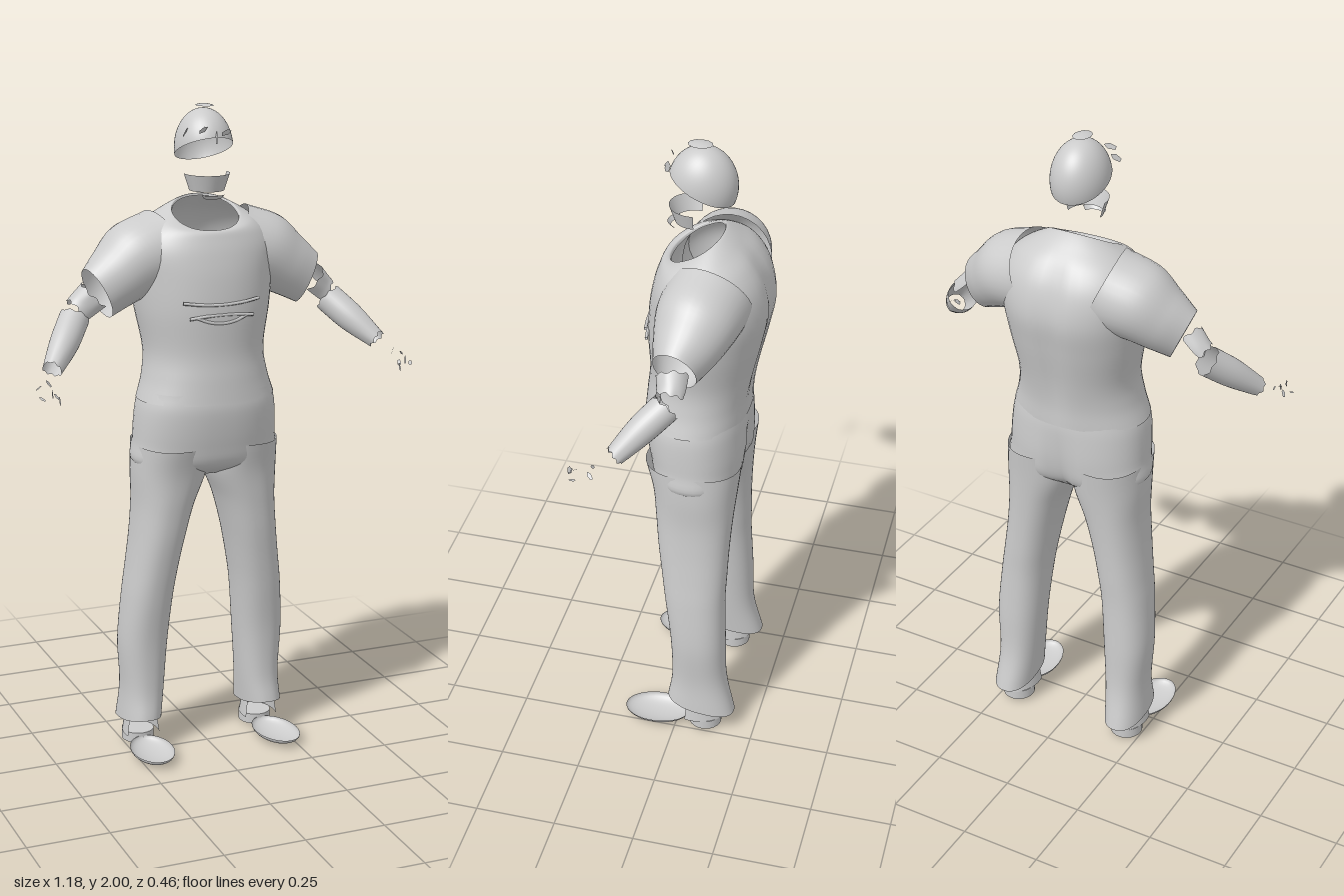
import * as THREE from 'three';

const grey = new THREE.MeshStandardMaterial({ color: 0xcccccc, side: THREE.DoubleSide });
const N = 48;

function add(parent, name, geometry) {
  const mesh = new THREE.Mesh(geometry, grey);
  mesh.name = name;
  parent.add(mesh);
  return mesh;
}

// Smooth skin through rings of points; closed rings share their seam
function loft(rings, steps = 6, closed = true) {
  const count = rings[0].length, rows = (rings.length - 1) * steps;
  const pos = [], index = [];
  const curves = rings[0].map((_, j) => new THREE.CatmullRomCurve3(rings.map(r => r[j]), false, 'catmullrom', 0.5));
  for (let i = 0; i <= rows; i++) for (const c of curves) pos.push(...c.getPoint(i / rows).toArray());
  for (let i = 0; i < rows; i++) {
    for (let j = 0; j < (closed ? count : count - 1); j++) {
      const a = i * count + j, b = i * count + (j + 1) % count;
      index.push(a, b, a + count, b, b + count, a + count);
    }
  }
  const g = new THREE.BufferGeometry();
  g.setAttribute('position', new THREE.Float32BufferAttribute(pos, 3));
  g.setIndex(index);
  g.computeVertexNormals();
  return g;
}

// Level ring [y, xOuter, xInner, zFront, zBack, tilt, groove]: tilt lowers the front, groove dents the back
function levelRing([y, x1, x0, zf, zb, tilt = 0, groove = 0], power = 2.3) {
  return Array.from({ length: N }, (_, j) => {
    const a = j / N * Math.PI * 2, c = Math.cos(a), s = Math.sin(a);
    const x = (x1 + x0) / 2 + (x1 - x0) / 2 * Math.sign(c) * Math.abs(c) ** (2 / power);
    let z = (zf + zb) / 2 + (zf - zb) / 2 * Math.sign(s) * Math.abs(s) ** (2 / power);
    if (s < 0) z += groove * Math.exp(-((x / 0.035) ** 2));
    return new THREE.Vector3(x, y - tilt * s, z);
  });
}

// Limb from stations [x, y, z, radiusUp, radiusSide], optionally only part of the way round
function limb(stations, from = 0, arc = Math.PI * 2, ragged = 0) {
  const at = s => new THREE.Vector3(s[0], s[1], s[2]);
  const d = at(stations[stations.length - 1]).sub(at(stations[0])).normalize();
  const v = new THREE.Vector3(0, 0, 1).addScaledVector(d, -d.z).normalize();
  const u = v.clone().cross(d);
  const full = arc > 6.2, n = 32;
  return loft(stations.map((s, i) => Array.from({ length: n }, (_, j) => {
    const a = from + arc * j / (full ? n : n - 1);
    const end = i === 0 ? 1 : i === stations.length - 1 ? -1 : 0;
    return at(s).addScaledVector(u, s[3] * Math.cos(a)).addScaledVector(v, s[4] * Math.sin(a))
      .addScaledVector(d, end * ragged * (1 + Math.sin(a * 5) * Math.cos(a * 3)));
  })), 6, full);
}

// Small loose sliver
function shard(parent, name, x, y, z, size, turn) {
  const m = add(parent, name, new THREE.CircleGeometry(size, 5));
  m.position.set(x, y, z);
  m.rotation.set(turn, turn * 1.7, turn * 0.6);
  m.scale.y = 0.45;
}

// One side of the body, built on +x
function buildSide() {
  const side = new THREE.Group();

  add(side, 'sleeve', limb([
    [0.10, 1.57, -0.075, 0.13, 0.13], [0.21, 1.545, -0.06, 0.115, 0.12],
    [0.28, 1.50, -0.045, 0.096, 0.095], [0.335, 1.46, -0.03, 0.082, 0.066]]));
  add(side, 'upperArm', limb([
    [0.34, 1.455, -0.03, 0.055, 0.05], [0.375, 1.425, -0.035, 0.05, 0.045],
    [0.40, 1.405, -0.035, 0.046, 0.042]], -1.2, 3.4, 0.008));
  add(side, 'forearm', limb([
    [0.405, 1.395, -0.03, 0.045, 0.045], [0.46, 1.335, 0.035, 0.043, 0.042],
    [0.52, 1.272, 0.1, 0.029, 0.029]], 0, Math.PI * 2, 0.007));
  [[0.545, 1.25, 0.15, 0.6], [0.575, 1.24, 0.15, 1.4], [0.54, 1.225, 0.205, 2.1], [0.555, 1.235, 0.215, 0.9],
    [0.535, 1.215, 0.22, 2.8], [0.58, 1.22, 0.2, 1.9]]
    .forEach(([x, y, z, t]) => shard(side, 'handFragment', x, y, z, 0.014, t));

  // Trouser leg with a flared, slanted hem
  add(side, 'trouserLeg', loft([
    [0.99, 0.222, 0, 0.115, -0.175], [0.9, 0.225, 0.004, 0.092, -0.165],
    [0.8, 0.223, 0.043, 0.08, -0.156], [0.7, 0.23, 0.07, 0.07, -0.15],
    [0.6, 0.242, 0.09, 0.056, -0.147], [0.5, 0.255, 0.105, 0.042, -0.145],
    [0.35, 0.266, 0.118, 0.022, -0.15], [0.2, 0.258, 0.13, 0.018, -0.156],
    [0.09, 0.265, 0.14, 0.03, -0.185, -0.02]].map(r => levelRing(r))));

  // Shoe: dished sole, heel block and a scrap of the upper
  const sole = add(side, 'shoeSole', new THREE.SphereGeometry(1, 32, 10, 0, Math.PI * 2, Math.PI / 2, Math.PI / 2));
  sole.scale.set(0.066, 0.03, 0.105);
  sole.position.set(0.208, 0.033, 0.065);
  sole.rotation.y = 0.08;
  const heel = add(side, 'shoeHeel', new THREE.CylinderGeometry(1, 1, 0.032, 24));
  heel.scale.set(0.05, 1, 0.052);
  heel.position.set(0.2, 0.026, -0.09);
  const upper = add(side, 'shoeUpper', new THREE.CylinderGeometry(0.85, 1, 0.06, 24, 1, true, Math.PI * 0.4, Math.PI * 1.2));
  upper.scale.set(0.055, 1, 0.085);
  upper.position.set(0.2, 0.07, -0.06);
  return side;
}

export function createModel() {
  const model = new THREE.Group();
  model.name = 'figure';

  // Shirt body from the slanted neckline to the hem
  add(model, 'shirt', loft([
    [1.675, 0.1, 0.06, -0.088, 0.045], [1.683, 0.107, 0.066, -0.095, 0.043],
    [1.668, 0.15, 0.082, -0.135, 0.03], [1.635, 0.195, 0.093, -0.185, 0.02, 0.01],
    [1.58, 0.222, 0.107, -0.222, 0.01, 0.014], [1.5, 0.218, 0.12, -0.238, 0, 0.014],
    [1.4, 0.205, 0.127, -0.222, 0, 0.014], [1.28, 0.184, 0.123, -0.195, 0, 0.012],
    [1.2, 0.192, 0.13, -0.18, 0, 0.006], [1.13, 0.213, 0.136, -0.175]
  ].map(([y, x, ...rest]) => levelRing([y, x, -x, ...rest], 2.15))));

  // Trouser seat, closing between the legs
  add(model, 'trouserSeat', loft([
    [1.16, 0.2, 0.13, -0.17], [1.1, 0.215, 0.134, -0.176, 0, 0.004], [1.0, 0.222, 0.12, -0.178, 0, 0.018],
    [0.93, 0.222, 0.098, -0.165, 0, 0.025], [0.89, 0.12, 0.03, -0.11]
  ].map(([y, x, ...rest]) => levelRing([y, x, -x, ...rest]))));

  // Folds across the chest
  for (const [y, w, sag] of [[1.375, 0.08, 0.02], [1.4, 0.1, -0.008], [1.43, 0.12, 0.01]]) {
    const path = new THREE.CatmullRomCurve3([-1, -0.5, 0, 0.5, 1].map(t =>
      new THREE.Vector3(t * w, y + sag * t * t, 0.125 - 0.9 * (t * w) ** 2)));
    add(model, 'shirtFold', new THREE.TubeGeometry(path, 24, 0.005, 6));
  }

  // Crown of the head, tilted so its rim rises at the brow
  const crown = new THREE.SphereGeometry(1, 40, 20, 0, Math.PI * 2, 0, Math.PI * 0.51);
  crown.rotateX(-0.38).scale(0.085, 0.117, 0.1).translate(0, 1.87, -0.028);
  add(model, 'headCrown', crown);
  const tuft = new THREE.SphereGeometry(1, 12, 6, 0, Math.PI * 2, 0, 0.28);
  tuft.scale(0.095, 0.13, 0.13).translate(0, 1.87, -0.02);
  add(model, 'hairTuft', tuft);
  [[-0.08, 1.925, 0.03, 0.5], [-0.04, 1.935, 0.07, 0.3], [0.03, 1.925, 0.075, 0.2], [0, 1.91, 0.075, 0.9]]
    .forEach(([x, y, z, t]) => shard(model, 'browFragment', x, y, z, 0.02, t));

  // Jaw band and strips of throat
  const jaw = new THREE.CylinderGeometry(0.068, 0.052, 0.05, 24, 1, true, -1.7, 3.4);
  jaw.scale(1, 1, 1.1).translate(0, 1.775, -0.005);
  add(model, 'jaw', jaw);
  const chin = new THREE.CylinderGeometry(0.04, 0.03, 0.012, 16, 1, true, -1.2, 2.4);
  chin.translate(0, 1.737, 0.035);
  add(model, 'chin', chin);

  // Arms, legs and shoes on both sides
  for (const [name, sign] of [['leftSide', 1], ['rightSide', -1]]) {
    const side = buildSide();
    side.name = name;
    side.scale.x = sign;
    model.add(side);
  }
  return model;
}
